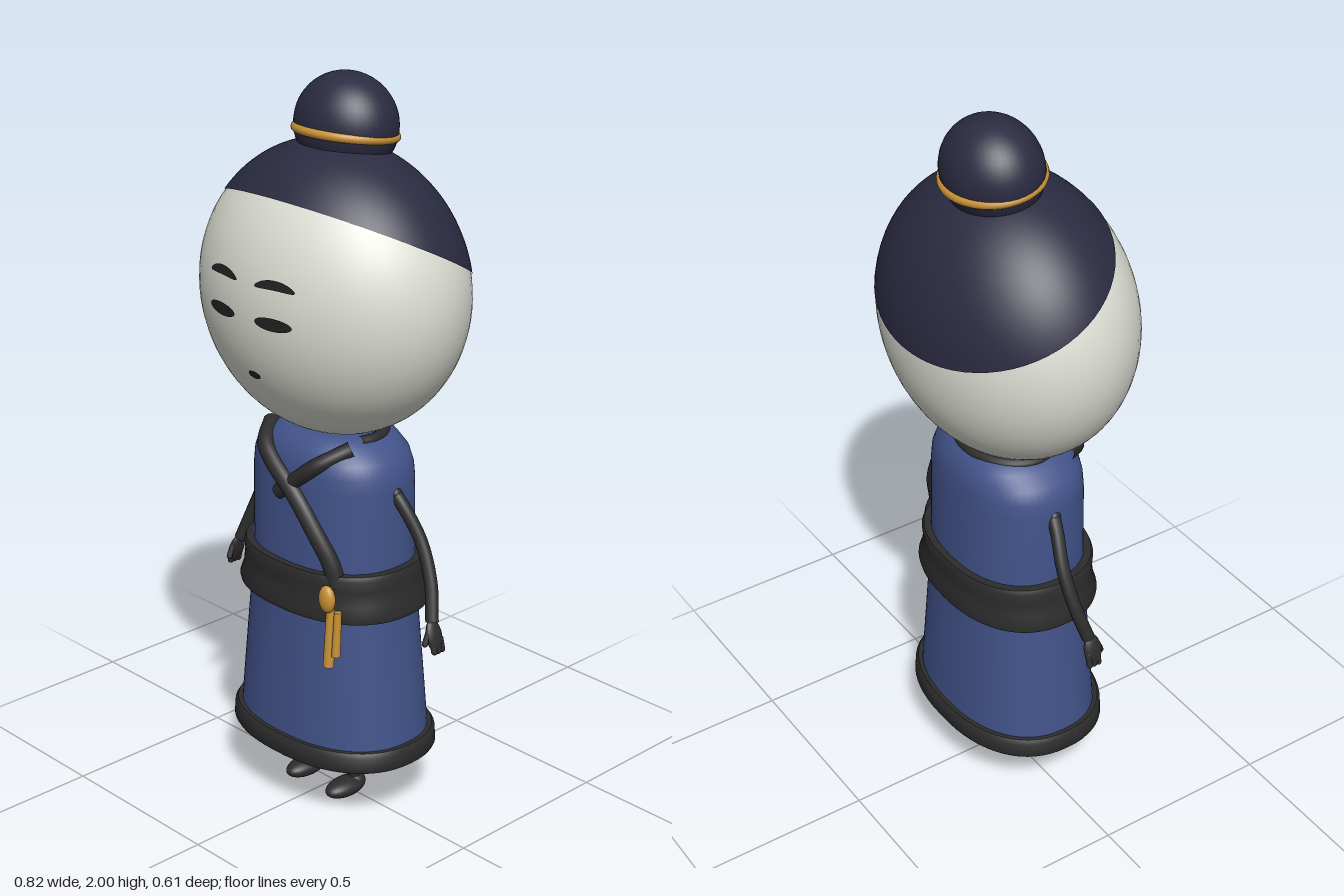
import * as THREE from 'three';
import { toCreasedNormals } from 'three/addons/utils/BufferGeometryUtils.js';

const mat = (name, color) => Object.assign(new THREE.MeshStandardMaterial({ color }), { name });
const V = (x, y, z) => new THREE.Vector3(x, y, z);

// Head ellipsoid
const HEAD = { y: 1.448, rx: 0.396, ry: 0.385, rz: 0.305 };

// Robe cross-sections: [y, half width, half depth]
const ROBE = [
  [0.2, 0.287, 0.205], [0.4, 0.268, 0.193], [0.61, 0.245, 0.183], [0.74, 0.235, 0.178],
  [0.95, 0.235, 0.172], [0.99, 0.231, 0.169], [1.025, 0.215, 0.163], [1.055, 0.18, 0.147],
  [1.075, 0.145, 0.128], [1.08, 0.12, 0.11], [1.08, 0.001, 0.001],
];
const POW = 2.3;

// Skin rounded-oval cross-sections; reversing the rows turns the surface inside out
function loft(rows, crease = 0.7, n = 64) {
  const pos = [], idx = [];
  const bend = (v) => Math.sign(v) * Math.pow(Math.abs(v), 2 / POW);
  rows.forEach(([y, rx, rz], i) => {
    for (let j = 0; j < n; j++) {
      const t = (j / n) * Math.PI * 2;
      pos.push(rx * bend(Math.cos(t)), y, rz * bend(Math.sin(t)));
      if (i < rows.length - 1) {
        const a = i * n + j, b = i * n + (j + 1) % n;
        idx.push(a, a + n, b, b, a + n, b + n);
      }
    }
  });
  const g = new THREE.BufferGeometry();
  g.setAttribute('position', new THREE.Float32BufferAttribute(pos, 3));
  g.setIndex(idx);
  return toCreasedNormals(g, crease);
}

// Depth of the robe's front at a given x and y
function robeFront(x, y) {
  const i = Math.max(1, ROBE.findIndex((r) => r[0] >= y));
  const [a, b] = [ROBE[i - 1], ROBE[i]];
  const t = (y - a[0]) / (b[0] - a[0]);
  const rx = a[1] + (b[1] - a[1]) * t, rz = a[2] + (b[2] - a[2]) * t;
  return rz * Math.pow(Math.max(0, 1 - Math.pow(Math.abs(x) / rx, POW)), 1 / POW);
}

export function createModel() {
  const root = new THREE.Group();
  const skin = mat('paleSkin', 0xdcddd3), hair = mat('darkHair', 0x2b2b42);
  const cloth = mat('blueCloth', 0x42538a), trim = mat('blackTrim', 0x2c2c2c);
  const gold = mat('gold', 0xc79236), ink = mat('faceInk', 0x222222);

  const add = (name, geo, material, parent = root) => {
    const m = new THREE.Mesh(geo, material);
    m.name = name;
    parent.add(m);
    return m;
  };
  const ball = (name, material, p, s, parent = root) => {
    const m = add(name, new THREE.SphereGeometry(1, 40, 28), material, parent);
    m.position.set(...p);
    m.scale.set(...s);
    return m;
  };
  const tube = (pts, r, closed = false) =>
    new THREE.TubeGeometry(new THREE.CatmullRomCurve3(pts, closed), 48, r, 12, closed);

  // Head and slanted hair cap
  add('head', new THREE.SphereGeometry(1, 64, 48).scale(HEAD.rx, HEAD.ry, HEAD.rz), skin)
    .position.y = HEAD.y;
  const cap = new THREE.SphereGeometry(1.008, 64, 32, 0, Math.PI * 2, 0, 1.18);
  cap.rotateX(-0.391).scale(HEAD.rx, HEAD.ry, HEAD.rz);
  add('hairCap', cap, hair).position.y = HEAD.y;

  // Bun with its gold band
  ball('hairBun', hair, [0, 1.866, -0.043], [0.144, 0.134, 0.125]);
  const band = add('bunBand', new THREE.TorusGeometry(0.134, 0.012, 12, 64).rotateX(Math.PI / 2), gold);
  band.position.set(0, 1.847, -0.041);
  band.rotation.x = -0.13;
  band.scale.z = 0.92;

  // Face marks laid onto the head's curve
  const faceMark = (name, x, y, w, h, arch = 0) => {
    const g = new THREE.RingGeometry(0.001, 1, 28, 4);
    const p = g.attributes.position;
    for (let i = 0; i < p.count; i++) {
      const u = p.getX(i), px = x + u * w;
      const py = y + p.getY(i) * h + arch * (0.5 - u * u);
      const k = 1 - (px / HEAD.rx) ** 2 - ((py - HEAD.y) / HEAD.ry) ** 2;
      p.setXYZ(i, px, py, HEAD.rz * Math.sqrt(k) + 0.004);
    }
    g.computeVertexNormals();
    add(name, g, ink);
  };
  for (const [side, s] of [['left', 1], ['right', -1]]) {
    faceMark(side + 'Brow', s * 0.094, 1.528, 0.061, 0.012, 0.01);
    faceMark(side + 'Eye', s * 0.094, 1.433, 0.057, 0.017);
  }
  faceMark('mouth', 0, 1.274, 0.022, 0.011);

  // Robe, dark lining, hem and belt
  add('robe', loft(ROBE), cloth);
  const lining = ROBE.slice(0, 4).map(([y, a, b]) => [y, a - 0.008, b - 0.008]);
  add('robeLining', loft([[0.74, 0.001, 0.001], ...lining.reverse()]), trim);
  add('hem', loft([
    [0.2, 0.272, 0.19], [0.178, 0.278, 0.196], [0.178, 0.302, 0.22], [0.185, 0.306, 0.224],
    [0.222, 0.303, 0.222], [0.234, 0.296, 0.214], [0.234, 0.278, 0.196],
  ]), trim);
  add('belt', loft([
    [0.61, 0.235, 0.175], [0.606, 0.277, 0.206], [0.618, 0.28, 0.209], [0.65, 0.268, 0.2],
    [0.69, 0.262, 0.198], [0.722, 0.262, 0.202], [0.734, 0.256, 0.197], [0.734, 0.225, 0.165],
  ]), trim);

  // Crossed collar bands following the chest, and the ring behind the neck
  const chest = (list, lift) => list.map(([x, y]) => V(x, y, robeFront(x, y) + lift));
  add('collarUnder', tube(chest([[0.148, 1.06], [0.09, 1.015], [0.03, 0.965], [-0.03, 0.918]], -0.004), 0.022), trim);
  add('collarOver', tube(chest([[-0.15, 1.06], [-0.1, 1.03], [-0.05, 0.995], [0.04, 0.925],
    [0.106, 0.836], [0.145, 0.765], [0.163, 0.7]], 0.002), 0.025), trim);
  const ring = [];
  for (let i = 0; i <= 12; i++) {
    const t = Math.PI * (-0.1 + 1.2 * i / 12);
    ring.push(V(0.145 * Math.cos(t), 1.068, -0.122 * Math.sin(t)));
  }
  add('collarBack', tube(ring, 0.015), trim);

  // Gold belt ornament and tassels
  ball('beltOrnament', gold, [0.165, 0.676, 0.182], [0.026, 0.038, 0.018]);
  const tassel = (name, x, top, bottom, r) => {
    const m = add(name, new THREE.CylinderGeometry(r * 0.85, r, top - bottom, 14), gold);
    m.position.set(x, (top + bottom) / 2, 0.174);
    m.rotation.x = -0.06;
  };
  tassel('longTassel', 0.167, 0.645, 0.482, 0.015);
  tassel('shortTassel', 0.194, 0.645, 0.52, 0.012);

  // Arms, hands, legs and feet
  for (const [side, s] of [['left', 1], ['right', -1]]) {
    const arm = new THREE.Group();
    arm.name = side + 'Arm';
    root.add(arm);
    add(side + 'Sleeve', tube([V(s * 0.222, 0.94, -0.005), V(s * 0.25, 0.905, -0.012),
      V(s * 0.3, 0.82, -0.026), V(s * 0.345, 0.72, -0.018), V(s * 0.375, 0.625, 0.006)], 0.018), trim, arm);
    ball(side + 'Shoulder', trim, [s * 0.224, 0.938, -0.005], [0.019, 0.019, 0.019], arm);
    const hand = ball(side + 'Hand', trim, [s * 0.388, 0.592, 0.011], [0.013, 0.045, 0.026], arm);
    hand.rotation.z = s * 0.3;
    for (const z of [-0.006, 0.008, 0.022]) {
      const f = add(side + 'Finger', new THREE.CapsuleGeometry(0.0085, 0.03, 4, 8), trim, arm);
      f.position.set(s * 0.397, 0.568, z);
      f.rotation.z = s * 0.25;
    }
    const thumb = add(side + 'Thumb', new THREE.CapsuleGeometry(0.008, 0.03, 4, 8), trim, arm);
    thumb.position.set(s * 0.384, 0.59, 0.035);
    thumb.rotation.x = -0.4;

    add(side + 'Leg', tube([V(s * 0.08, 0.72, 0.03), V(s * 0.08, 0.2, 0.01), V(s * 0.08, 0.035, -0.003)], 0.017), trim);
    ball(side + 'Foot', trim, [s * 0.08, 0.028, 0.032], [0.037, 0.026, 0.068]);
    ball(side + 'Heel', trim, [s * 0.08, 0.033, -0.004], [0.029, 0.025, 0.031]);
  }
  return root;
}
